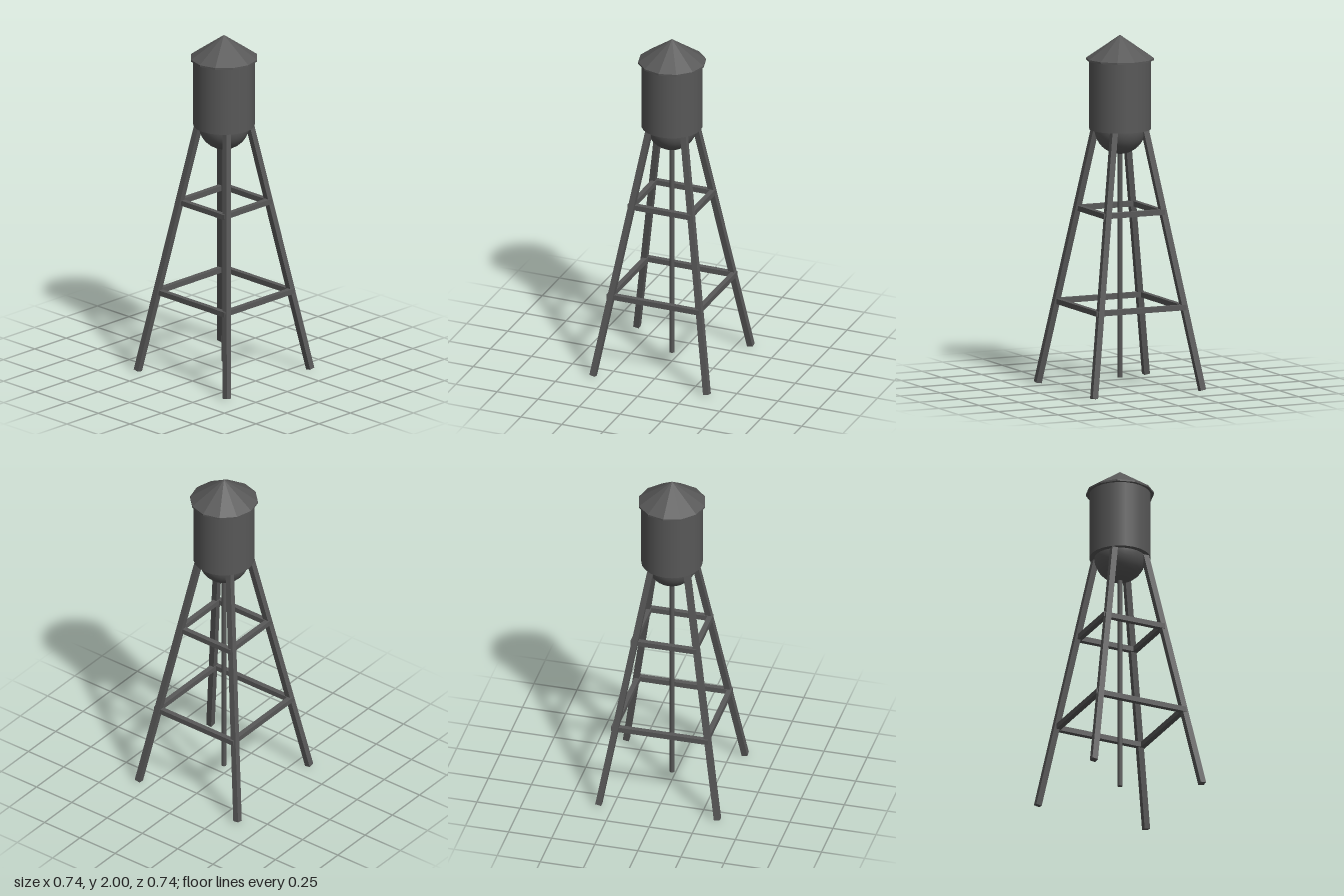
import * as THREE from 'three';

export function createModel() {
  const model = new THREE.Group();
  model.name = 'waterTower';
  const steel = new THREE.MeshStandardMaterial({ color: 0x585858 });
  steel.name = 'darkSteel';

  const add = (name, geometry, x, y, z, parent = model) => {
    const mesh = new THREE.Mesh(geometry, steel);
    mesh.name = name;
    mesh.position.set(x, y, z);
    parent.add(mesh);
    return mesh;
  };
  const faceted = (geometry) => {
    const flat = geometry.toNonIndexed();
    flat.computeVertexNormals();
    return flat;
  };

  // Tank with a round bottom
  add('tank', new THREE.CylinderGeometry(0.173, 0.173, 0.4, 24), 0, 1.665, 0);
  add('tankBowl', new THREE.SphereGeometry(0.145, 24, 10, 0, Math.PI * 2, Math.PI / 2, Math.PI / 2), 0, 1.47, 0);

  // Twelve-sided pointed roof with a thin rim
  add('roofRim', faceted(new THREE.CylinderGeometry(0.192, 0.192, 0.01, 12)), 0, 1.863, 0);
  add('roof', faceted(new THREE.ConeGeometry(0.192, 0.132, 12)), 0, 1.934, 0);

  // Central riser pipe
  add('riserPipe', new THREE.CylinderGeometry(0.014, 0.014, 1.3, 8), 0, 0.705, 0);

  // Four identical sides, each with one splayed leg and two cross bars
  const foot = new THREE.Vector3(0.332, 0.004, -0.352);
  const head = new THREE.Vector3(0.089, 1.48, -0.109);
  const along = head.clone().sub(foot);
  const middle = head.clone().add(foot).multiplyScalar(0.5);
  const legGeometry = new THREE.BoxGeometry(0.034, along.length(), 0.034);
  for (let i = 0; i < 4; i++) {
    const side = new THREE.Group();
    side.name = 'side' + (i + 1);
    side.rotation.y = (i * Math.PI) / 2;
    model.add(side);

    const leg = add('leg', legGeometry, middle.x, middle.y, middle.z, side);
    leg.quaternion.setFromUnitVectors(new THREE.Vector3(0, 1, 0), along.clone().normalize());

    for (const [name, y, d] of [['lowerBar', 0.471, 0.266], ['upperBar', 1.006, 0.176]]) {
      add(name, new THREE.BoxGeometry(d * 2 + 0.026, 0.03, 0.029), 0, y, d, side);
    }
  }
  return model;
}
